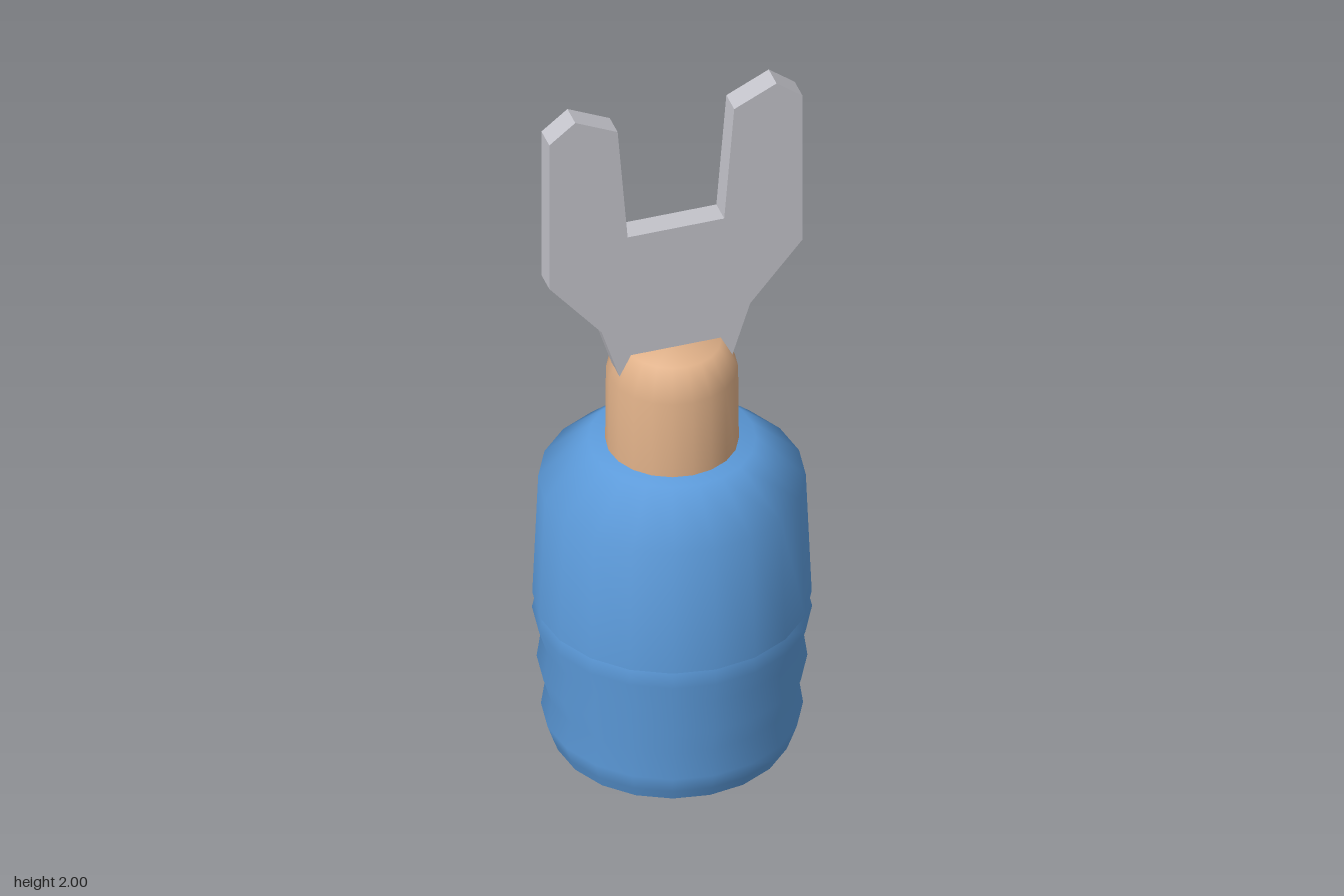
import * as THREE from 'three';

const SIDES = 20;
const v = ([x, y]) => new THREE.Vector2(x, y);

export function createModel() {
  const model = new THREE.Group();
  const blue = new THREE.MeshStandardMaterial({ color: 0x5c9bdb });
  blue.name = 'blue';
  const tan = new THREE.MeshStandardMaterial({ color: 0xdfb088 });
  tan.name = 'tan';
  const steel = new THREE.MeshStandardMaterial({ color: 0xc3c3ca });
  steel.name = 'steel';

  const add = (name, geometry, material) => {
    const mesh = new THREE.Mesh(geometry, material);
    mesh.name = name;
    model.add(mesh);
    return mesh;
  };
  const turned = (name, profile, material) =>
    add(name, new THREE.LatheGeometry(profile.map(v), SIDES), material);

  // Ribbed sleeve, slightly wider towards the top
  turned('ribbedSleeve', [
    [0.307, 0], [0.318, 0.03], [0.335, 0.08], [0.324, 0.155],
    [0.346, 0.23], [0.335, 0.31], [0.358, 0.385], [0.345, 0.435],
  ], blue);
  const base = add('sleeveBase', new THREE.CircleGeometry(0.307, SIDES), blue);
  base.rotation.set(Math.PI / 2, 0, Math.PI / 2);

  // Smooth cuff with a flat underside
  turned('cuff', [[0.357, 0.432], [0.342, 0.8], [0.215, 0.918], [0, 0.918]], blue);
  turned('cuffUnderside', [[0.3, 0.432], [0.357, 0.432]], blue);

  // Rounded peg holding the fork
  turned('peg', [[0.171, 0.9], [0.169, 1.145], [0.126, 1.23], [0, 1.23]], tan);

  // Flat forked jaw: one half of the outline, mirrored in x
  const half = [
    [0.13, 1.1], [0.2, 1.32], [0.341, 1.49], [0.341, 1.945],
    [0.271, 2], [0.157, 1.945], [0.13, 1.605],
  ];
  const mirrored = half.map(([x, y]) => [-x, y]).reverse();
  const jaw = new THREE.ExtrudeGeometry(
    new THREE.Shape([...half, ...mirrored].map(v)),
    { depth: 0.064, bevelEnabled: false },
  );
  jaw.translate(0, 0, -0.032);
  add('forkedJaw', jaw, steel);

  return model;
}
